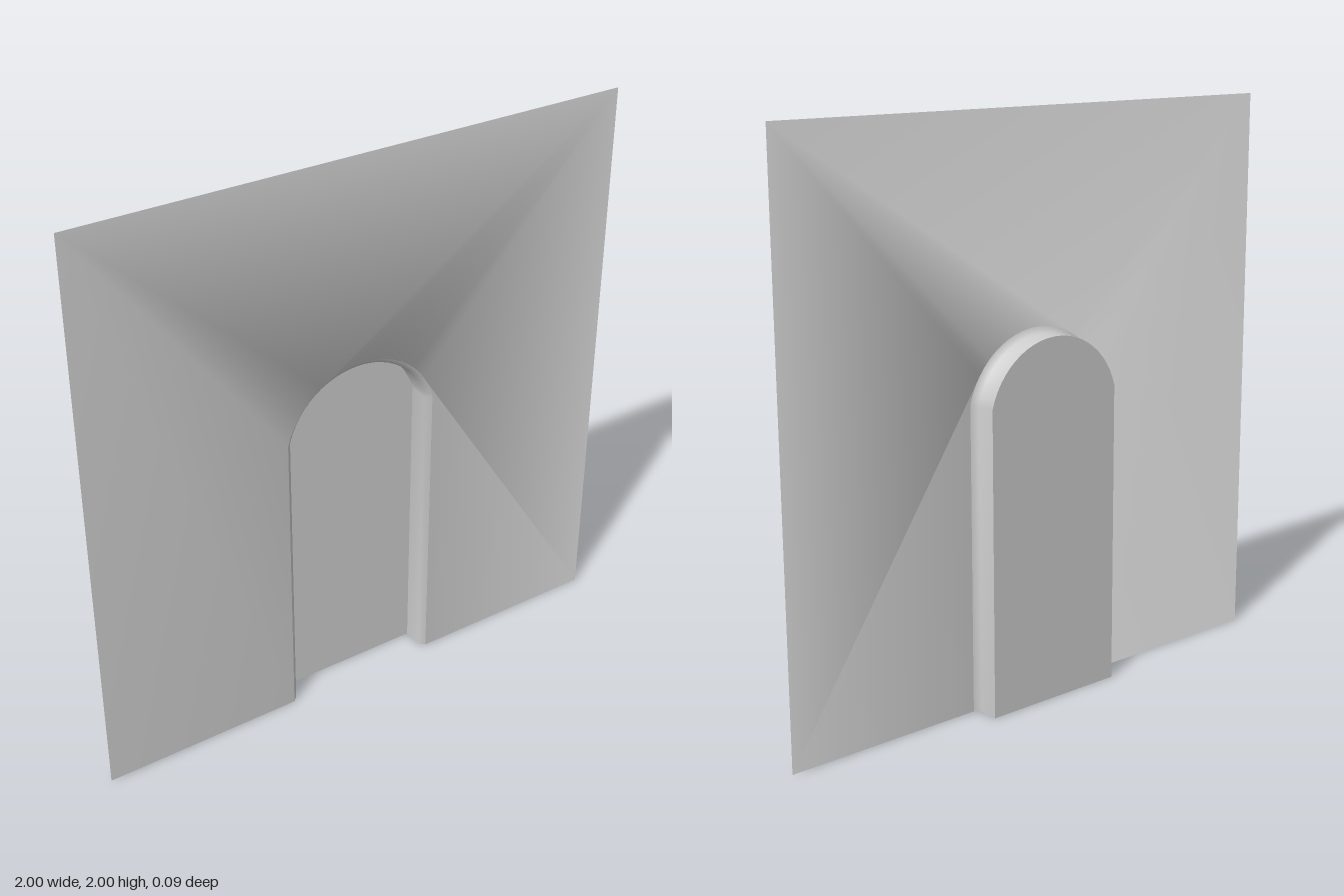
import * as THREE from 'three';

const HALF = 0.265, RADIUS = 0.274, CENTRE_Y = 0.991; // arched opening
const FRONT = 0.045, BACK = -0.045, BEVEL = 0.019;
const SEGMENTS = 24;

// Opening outline from the foot on -x, over the arch, to the foot on +x.
// Each entry holds a point and its direction away from the opening.
function archOutline() {
  const spring = Math.acos(HALF / RADIUS);
  const outline = [{ x: -HALF, y: 0, dx: -1, dy: 0 }];
  for (let i = 0; i <= SEGMENTS; i++) {
    const a = Math.PI - spring - (i / SEGMENTS) * (Math.PI - 2 * spring);
    let d = a;
    if (i === 0) d = Math.PI - spring / 2;
    if (i === SEGMENTS) d = spring / 2;
    outline.push({
      x: RADIUS * Math.cos(a), y: CENTRE_Y + RADIUS * Math.sin(a),
      dx: Math.cos(d), dy: Math.sin(d),
    });
  }
  outline.push({ x: HALF, y: 0, dx: 1, dy: 0 });
  return outline;
}

// Normal tilted from the wall's front towards the inside of the opening
const tilted = (p, angle) =>
  [-p.dx * Math.sin(angle), -p.dy * Math.sin(angle), Math.cos(angle)];

export function createModel() {
  const group = new THREE.Group();
  const material = new THREE.MeshStandardMaterial({ color: 0xcccccc, side: THREE.DoubleSide });
  const add = (name, geometry) => {
    const mesh = new THREE.Mesh(geometry, material);
    mesh.name = name;
    group.add(mesh);
    return mesh;
  };
  const outline = archOutline();
  const rimTilt = Math.PI / 8;

  // Thin square wall around the opening, shaded softly into the bevel
  const corners = [[1, 0], [1, 2], [-1, 2], [-1, 0]].map(([x, y]) => new THREE.Vector2(x, y));
  const rim = outline.map((p) => new THREE.Vector2(p.x + p.dx * BEVEL, p.y + p.dy * BEVEL));
  const wall = new THREE.ShapeGeometry(new THREE.Shape([...corners, ...rim]));
  outline.forEach((p, i) => wall.attributes.normal.setXYZ(i + 4, ...tilted(p, rimTilt)));
  add('wall', wall).position.z = FRONT;

  // Bevelled rim and the straight sides of the recess
  const rings = [
    { out: BEVEL, z: FRONT, tilt: rimTilt },
    { out: 0, z: FRONT - BEVEL, tilt: rimTilt * 3 },
    { out: 0, z: BACK, tilt: Math.PI / 2 },
  ];
  const positions = [], normals = [], index = [];
  const n = outline.length;
  rings.forEach((ring, r) => outline.forEach((p, i) => {
    positions.push(p.x + p.dx * ring.out, p.y + p.dy * ring.out, ring.z);
    normals.push(...tilted(p, ring.tilt));
    if (r < rings.length - 1 && i < n - 1) {
      const a = r * n + i;
      index.push(a, a + n, a + 1, a + 1, a + n, a + n + 1);
    }
  }));
  const reveal = new THREE.BufferGeometry();
  reveal.setAttribute('position', new THREE.Float32BufferAttribute(positions, 3));
  reveal.setAttribute('normal', new THREE.Float32BufferAttribute(normals, 3));
  reveal.setIndex(index);
  add('recessSides', reveal);

  // Flat arched panel closing the back of the recess
  const panelShape = new THREE.Shape(outline.map((p) => new THREE.Vector2(p.x, p.y)));
  add('backPanel', new THREE.ShapeGeometry(panelShape)).position.z = BACK;

  return group;
}
